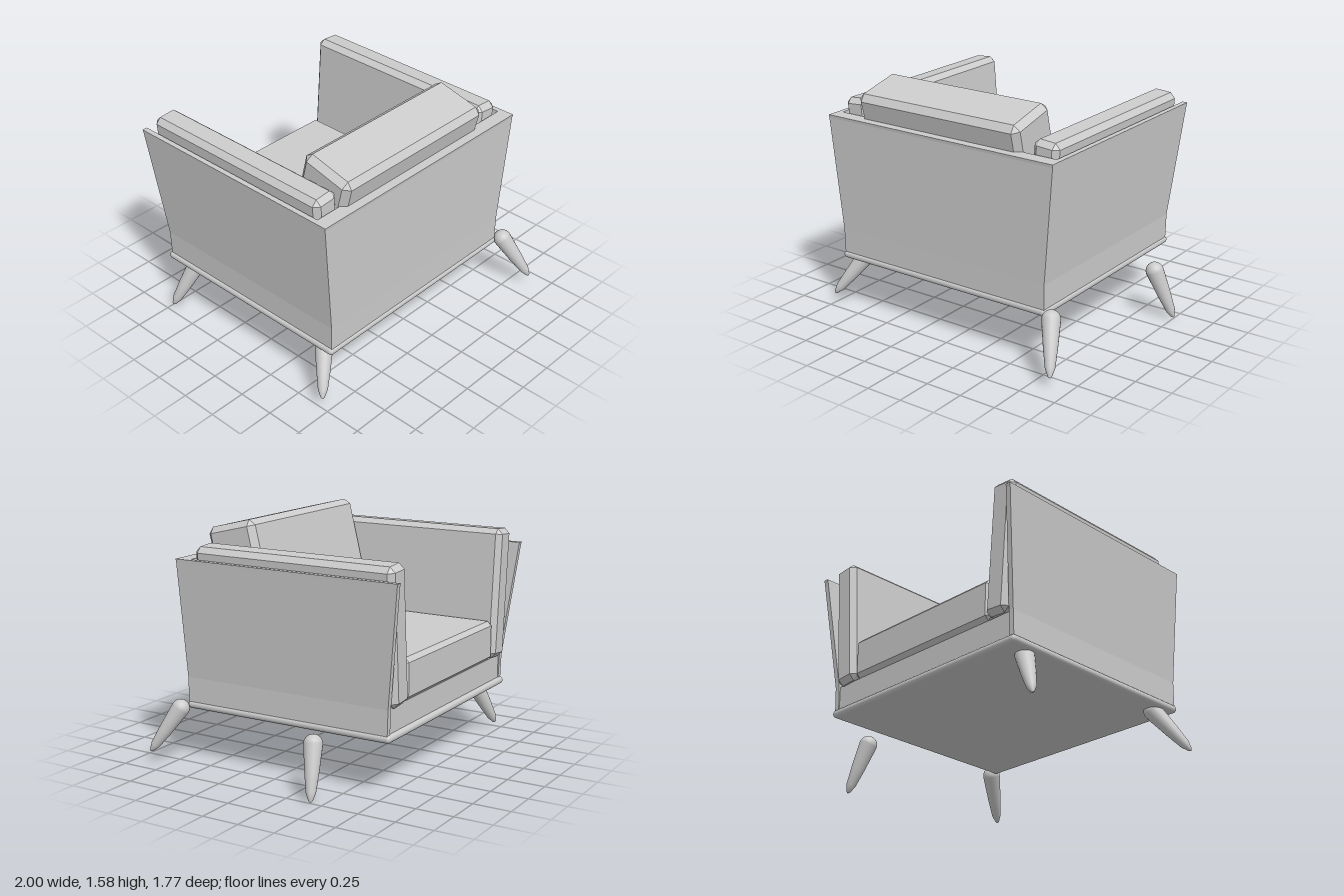
import * as THREE from 'three';
import { ConvexGeometry } from 'three/addons/geometries/ConvexGeometry.js';
import { RoundedBoxGeometry } from 'three/addons/geometries/RoundedBoxGeometry.js';

const flat = new THREE.MeshStandardMaterial({ color: 0xcccccc, flatShading: true });
const smooth = new THREE.MeshStandardMaterial({ color: 0xcccccc });

// Box with all twelve edges chamfered by c
function chamferBox(w, h, d, c) {
  const pts = [];
  for (const sx of [-1, 1]) for (const sy of [-1, 1]) for (const sz of [-1, 1]) {
    for (let k = 0; k < 3; k++) {
      const inset = [c, c, c];
      inset[k] = 0;
      pts.push(new THREE.Vector3(
        sx * (w / 2 - inset[0]), sy * (h / 2 - inset[1]), sz * (d / 2 - inset[2])));
    }
  }
  return new ConvexGeometry(pts);
}

// Closed solid through rectangular sections [y, x0, x1, z0, z1], bottom to top
function loft(sections) {
  const pos = [], idx = [];
  for (const [y, x0, x1, z0, z1] of sections)
    pos.push(x0, y, z1, x1, y, z1, x1, y, z0, x0, y, z0);
  for (let i = 0; i < sections.length - 1; i++) {
    for (let k = 0; k < 4; k++) {
      const a = i * 4 + k, b = i * 4 + (k + 1) % 4;
      idx.push(a, b, b + 4, a, b + 4, a + 4);
    }
  }
  const t = (sections.length - 1) * 4;
  idx.push(0, 2, 1, 0, 3, 2, t, t + 1, t + 2, t, t + 2, t + 3);
  const indexed = new THREE.BufferGeometry();
  indexed.setAttribute('position', new THREE.Float32BufferAttribute(pos, 3));
  indexed.setIndex(idx);
  const g = indexed.toNonIndexed();
  g.computeVertexNormals();
  return g;
}

export function createModel() {
  const chair = new THREE.Group();
  chair.name = 'armchair';
  const add = (name, geometry, material = flat, x = 0, y = 0, z = 0) => {
    const m = new THREE.Mesh(geometry, material);
    m.name = name;
    m.position.set(x, y, z);
    chair.add(m);
    return m;
  };
  const midX = -0.0925; // the body sits off-centre because of the legs

  // Base plate with rounded rim, and the frame under the seat
  add('basePlate', new RoundedBoxGeometry(1.63, 0.05, 1.5, 3, 0.024), smooth, -0.096, 0.375, -0.05);
  add('seatFrame', new THREE.BoxGeometry(1.56, 0.17, 1.42), flat, midX, 0.475, -0.065);

  // Flared side panels
  for (const s of [-1, 1]) {
    const section = (y, outer, z0, z1) => {
      const a = midX + s * outer, b = midX + s * (outer - 0.035);
      return [y, Math.min(a, b), Math.max(a, b), z0, z1];
    };
    add(s < 0 ? 'rightPanel' : 'leftPanel', loft([
      section(0.38, 0.802, -0.78, 0.69),
      section(0.56, 0.803, -0.785, 0.692),
      section(1.32, 0.87, -0.875, 0.713),
      section(1.34, 0.872, -0.88, 0.716),
    ]));
  }

  // Back panel
  add('backPanel', loft([
    [0.38, midX - 0.79, midX + 0.79, 0.61, 0.69],
    [0.56, midX - 0.79, midX + 0.79, 0.612, 0.692],
    [1.32, midX - 0.86, midX + 0.86, 0.62, 0.713],
    [1.34, midX - 0.86, midX + 0.86, 0.62, 0.716],
  ]));

  // Cushions
  add('seatCushion', chamferBox(1.22, 0.27, 1.36, 0.028), flat, -0.1, 0.695, -0.12);
  const back = add('backCushion', chamferBox(1.25, 0.85, 0.37, 0.04), flat, -0.125, 1.128, 0.412);
  back.rotation.x = 0.24;
  const armR = add('rightArmCushion', chamferBox(0.18, 0.88, 1.43, 0.035), flat, -0.803, 1.003, -0.105);
  armR.rotation.z = 0.075;
  const armL = add('leftArmCushion', chamferBox(0.18, 0.87, 1.43, 0.035), flat, 0.617, 0.99, -0.105);
  armL.rotation.z = -0.075;

  // Splayed tapered legs: [top, tip]
  const profile = [[0, 0], [0.013, 0.012], [0.031, 0.06], [0.045, 0.18], [0.06, 0.355]]
    .map(([r, y]) => new THREE.Vector2(r, y));
  for (let i = 1; i <= 6; i++) {
    const a = i / 6 * Math.PI / 2;
    profile.push(new THREE.Vector2(i === 6 ? 0 : 0.06 * Math.cos(a), 0.355 + 0.06 * Math.sin(a)));
  }
  const legGeometry = new THREE.LatheGeometry(profile, 20);
  const legs = [
    ['leftBackLeg', [0.77, 0.38, 0.7], [0.885, 0.07, 0.88]],
    ['leftFrontLeg', [0.865, 0.345, -0.36], [0.995, 0, -0.42]],
    ['rightBackLeg', [-0.82, 0.35, 0.555], [-0.995, 0.07, 0.705]],
    ['rightFrontLeg', [-0.82, 0.35, -0.615], [-0.975, 0.035, -0.715]],
  ];
  for (const [name, top, tip] of legs) {
    const dir = new THREE.Vector3(...top).sub(new THREE.Vector3(...tip)).normalize();
    const leg = add(name, legGeometry, smooth, ...tip);
    leg.quaternion.setFromUnitVectors(new THREE.Vector3(0, 1, 0), dir);
  }
  return chair;
}
